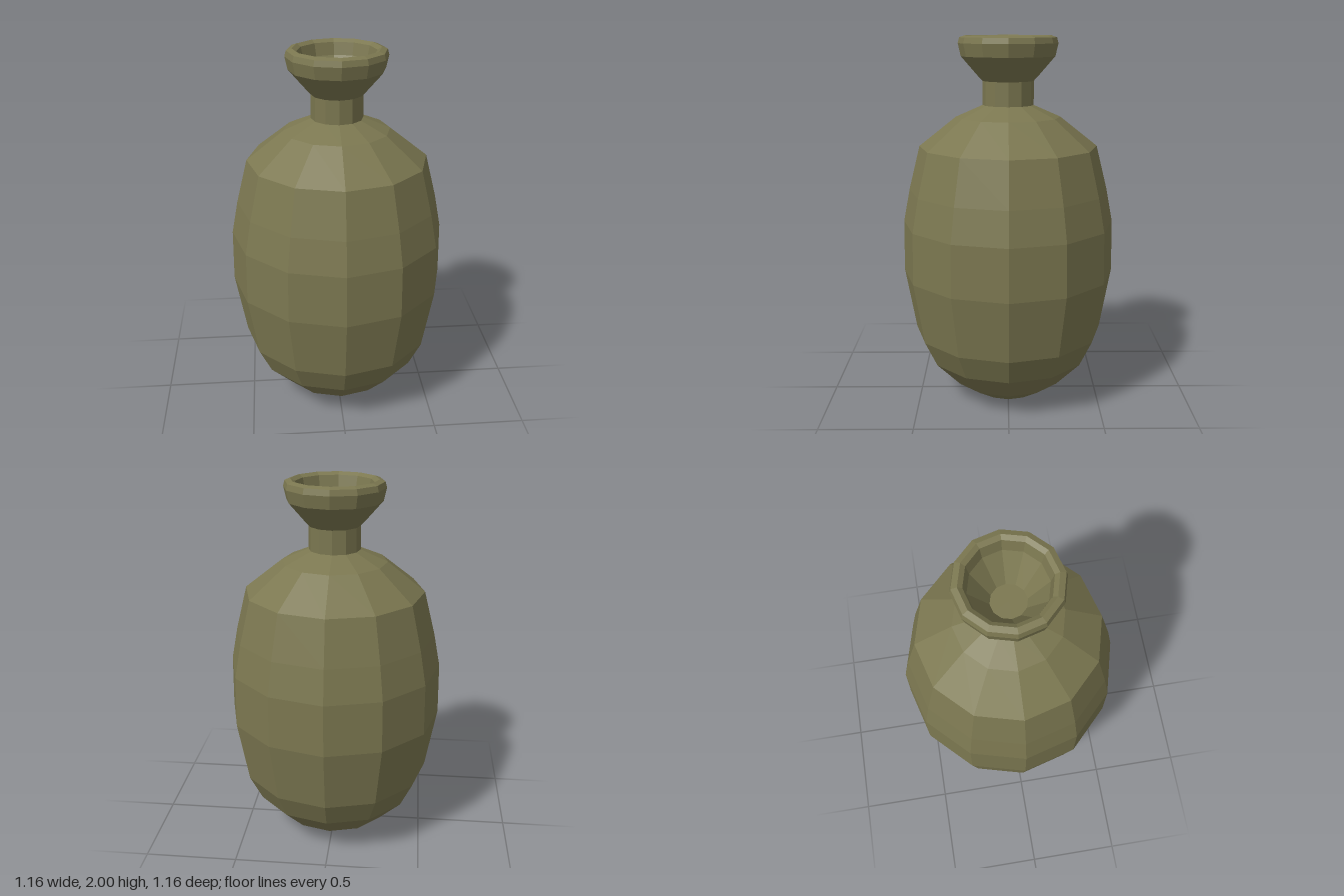
import * as THREE from 'three';

const SIDES = 12;

export function createModel() {
  const group = new THREE.Group();
  group.name = 'vase';
  const olive = new THREE.MeshStandardMaterial({ color: 0x7b7750, flatShading: true });
  olive.name = 'olive clay';

  // Each part is a twelve-sided turned band given as [radius, height] points
  const turn = (name, profile) => {
    const points = profile.map(([r, y]) => new THREE.Vector2(r, y));
    const mesh = new THREE.Mesh(new THREE.LatheGeometry(points, SIDES), olive);
    mesh.name = name;
    group.add(mesh);
  };

  // Closed foot and swelling belly
  turn('body', [
    [0, 0], [0.165, 0], [0.31, 0.09], [0.45, 0.235], [0.52, 0.38],
    [0.58, 0.72], [0.575, 1.0], [0.54, 1.18], [0.48, 1.417],
  ]);
  // Sloping shoulder
  turn('shoulder', [[0.48, 1.417], [0.28, 1.575], [0.135, 1.638]]);
  // Narrow neck
  turn('neck', [[0.137, 1.638], [0.137, 1.765]]);
  // Flared cup with rounded lip
  turn('flaredMouth', [
    [0.137, 1.765], [0.165, 1.795], [0.25, 1.893], [0.265, 1.96],
    [0.257, 1.99], [0.228, 2.0], [0.205, 1.985],
  ]);
  // Hollow inside of the cup, with its floor
  turn('mouthHollow', [[0.205, 1.985], [0.19, 1.92], [0.09, 1.77], [0, 1.77]]);

  return group;
}
